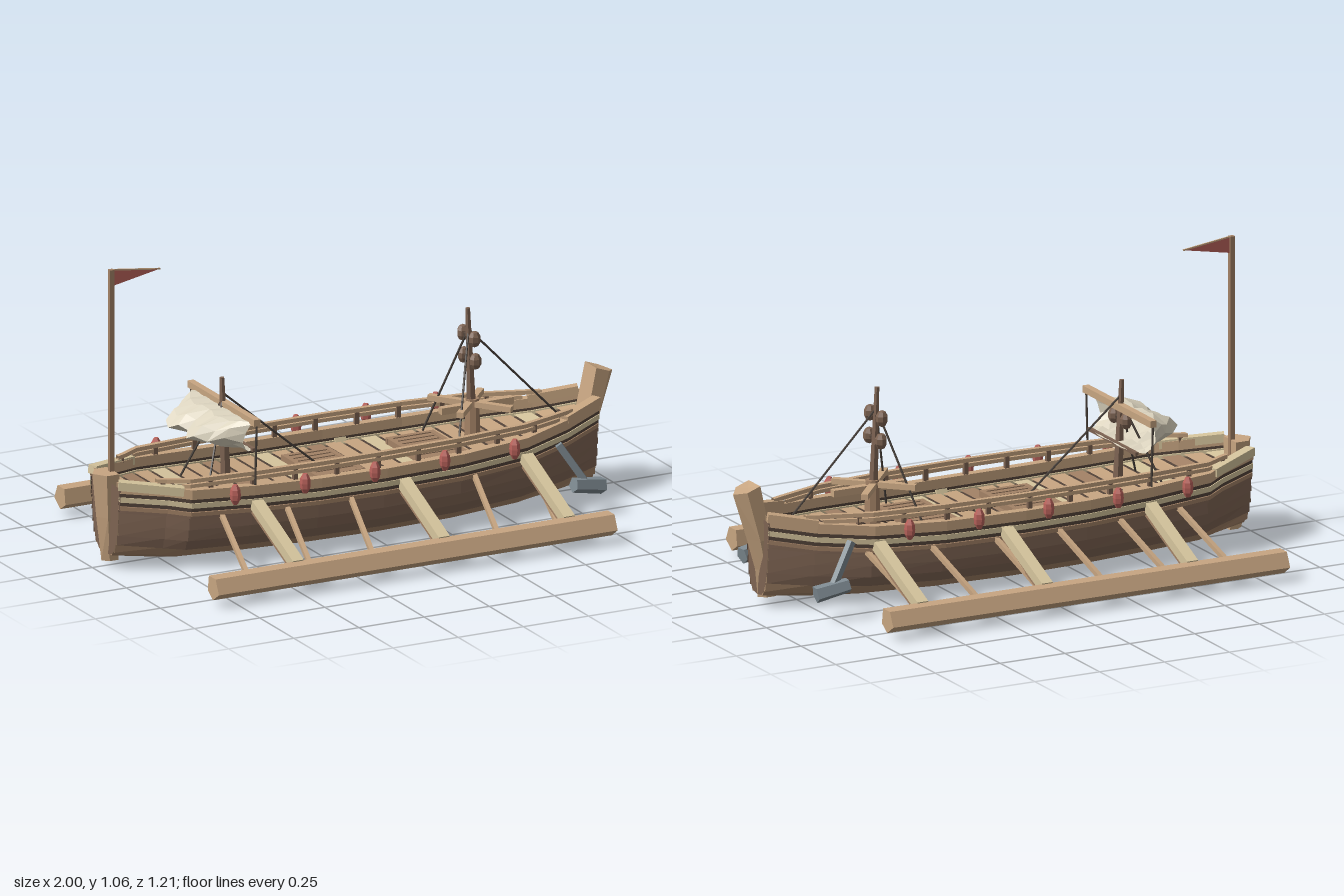
import * as THREE from 'three';

const mat = (name, color) => new THREE.MeshStandardMaterial({ name, color, side: THREE.DoubleSide });
const M = {
  tan: mat('tan wood', 0xc7a581), light: mat('pale wood', 0xd6c59d), brown: mat('brown wood', 0xa38266),
  hull: mat('hull wood', 0x7d6352), dark: mat('dark wood', 0x54443a), red: mat('red cloth', 0xb9625b),
  grey: mat('grey iron', 0x7f8b92), sail: mat('sail cloth', 0xdcd4bf), rope: mat('rope', 0x4a423c),
};
const V = (x, y, z) => new THREE.Vector3(x, y, z);

// Hull stations: x, half beam, keel height, sheer height
const ST = [[-0.95, 0.1, 0.045, 0.305], [-0.8, 0.165, 0.025, 0.29], [-0.73, 0.205, 0.018, 0.28], [-0.5, 0.225, 0.01, 0.268],
  [-0.25, 0.237, 0.003, 0.26], [0, 0.24, 0, 0.258], [0.3, 0.23, 0.003, 0.26], [0.56, 0.2, 0.012, 0.27],
  [0.75, 0.135, 0.025, 0.288], [0.9, 0.075, 0.04, 0.315]];
// Section: share of half beam and of height, keel to sheer
const SEC = [[0, 0], [0.36, 0.015], [0.6, 0.08], [0.77, 0.2], [0.87, 0.34], [0.92, 0.5], [0.95, 0.66], [0.98, 0.82], [1, 1]];
function lerpTable(table, t) {
  let i = 0;
  while (i < table.length - 2 && t > table[i + 1][0]) i++;
  const k = (t - table[i][0]) / (table[i + 1][0] - table[i][0]);
  return table[i].map((a, j) => a + (table[i + 1][j] - a) * k);
}
const station = x => { const [, beam, keel, sheer] = lerpTable(ST, x); return { beam, keel, sheer }; };
const deckY = x => station(x).sheer - 0.035;

export function createModel() {
  const root = new THREE.Group();
  root.name = 'outriggerBoat';
  const add = (name, geo, m, parent = root) => {
    const mesh = new THREE.Mesh(geo, m);
    mesh.name = name;
    parent.add(mesh);
    return mesh;
  };
  const group = name => { const g = new THREE.Group(); g.name = name; root.add(g); return g; };
  // Faceted sheet through a grid of points
  const grid = (rows, cols, point) => {
    const pos = [], idx = [];
    for (let i = 0; i < rows; i++) for (let j = 0; j < cols; j++) pos.push(...point(i, j).toArray());
    for (let i = 0; i < rows - 1; i++) for (let j = 0; j < cols - 1; j++) {
      const a = i * cols + j, b = a + cols;
      idx.push(a, b, a + 1, b, b + 1, a + 1);
    }
    const g = new THREE.BufferGeometry();
    g.setAttribute('position', new THREE.Float32BufferAttribute(pos, 3));
    g.setIndex(idx);
    return facet(g);
  };
  const facet = g => { const f = g.toNonIndexed(); f.computeVertexNormals(); return f; };
  const along = (mesh, a, b) => { mesh.position.copy(a).add(b).multiplyScalar(0.5); mesh.lookAt(b); return mesh; };
  const beam = (name, a, b, w, h, m, parent) =>
    along(add(name, new THREE.BoxGeometry(w, h, a.distanceTo(b)), m, parent), a, b);
  const rod = (name, a, b, r0, r1, m, parent, sides = 6) =>
    along(add(name, facet(new THREE.CylinderGeometry(r1, r0, a.distanceTo(b), sides).rotateX(Math.PI / 2)), m, parent), a, b);
  const box = (name, x, y, z, w, h, d, m, parent) => {
    const b = add(name, new THREE.BoxGeometry(w, h, d), m, parent);
    b.position.set(x, y, z);
    return b;
  };

  // Lapped hull planking
  const hull = group('hull');
  const xs = ST.map(s => s[0]);
  const hullPoint = (x, k, side, out = 0) => {
    const s = station(x);
    return V(x, s.keel + SEC[k][1] * (s.sheer - s.keel), side * (SEC[k][0] * s.beam + out));
  };
  for (const side of [1, -1]) {
    for (let k = 0; k < 8; k++) {
      const rows = [[k + 1, 0], [k, k ? 0.009 : 0], [k, 0]];
      if (side < 0) rows.reverse();
      add('strake', grid(3, xs.length, (i, j) => hullPoint(xs[j], rows[i][0], side, rows[i][1])), k < 3 ? M.brown : M.hull, hull);
    }
    // Strips following the sheer: height is taken from base(x)
    const strip = (name, inset, base, w, h, m, from = -0.95, to = 0.9) => {
      const px = [from, ...xs.filter(x => x > from && x < to), to];
      const c = [[0, 0], [0, h], [-w, h], [-w, 0], [0, 0]];
      add(name, grid(5, px.length, (i, j) => {
        const q = c[side > 0 ? 4 - i : i];
        return V(px[j], base(px[j]) + q[1], side * (station(px[j]).beam - inset + q[0]));
      }), m, hull);
    };
    const below = d => x => station(x).sheer - d;
    strip('gunwale', -0.014, below(0.016), 0.032, 0.034, M.tan);
    strip('seam', -0.008, below(0.03), 0.012, 0.014, M.dark);
    strip('wale', -0.012, below(0.048), 0.022, 0.018, M.light);
    strip('lowerSeam', -0.006, below(0.062), 0.014, 0.014, M.dark);
    strip('lowerWale', -0.007, below(0.078), 0.022, 0.014, M.brown);
    // Level handrail with a second rail beneath
    strip('topRail', 0, () => 0.319, 0.018, 0.014, M.tan, -0.83, 0.78);
    strip('lowerRail', 0.002, () => 0.301, 0.012, 0.013, M.tan, -0.75, 0.72);
    for (let i = 0; i < 11; i++) {
      const x = -0.81 + i * 0.157, s = station(x), foot = s.sheer + 0.01;
      box('railPost', x, (foot + 0.32) / 2, side * (s.beam - 0.009), 0.016, 0.32 - foot, 0.012, M.hull, hull);
    }
    // Heavy caps where the sides meet the end posts
    beam('sternCap', V(-0.95, 0.315, side * 0.095), V(-0.75, 0.292, side * 0.195), 0.035, 0.03, M.light, hull);
    beam('bowCap', V(0.9, 0.33, side * 0.07), V(0.74, 0.302, side * 0.135), 0.035, 0.03, M.tan, hull);
  }
  for (const x of [-0.95, 0.9])
    add('endPlate', grid(2, SEC.length, (i, j) => hullPoint(x, j, i === (x > 0 ? 0 : 1) ? 1 : -1)), M.hull, hull);

  // Pointed bow and stern posts: sections of [height, back x, nose x, half width, tilt]
  const post = (name, sections) => add(name, grid(sections.length + 2, 6, (i, j) => {
    const [y, back, nose, w, tilt = 0] = sections[Math.min(Math.max(i - 1, 0), sections.length - 1)];
    const mid = back + (nose - back) * 0.6;
    const p = [[back, w], [mid, w], [nose, 0], [mid, -w], [back, -w], [back, w]][j];
    if (i === 0 || i > sections.length) return V((back + mid) / 2, y - tilt * 0.4, 0);
    return V(p[0], y - tilt * (p[0] - back) / (nose - back), p[1]);
  }), M.tan, hull);
  post('bowPost', [[0.03, 0.84, 0.9, 0.02], [0.13, 0.85, 0.91, 0.035], [0.24, 0.87, 0.942, 0.045], [0.435, 0.912, 0.995, 0.042, 0.03]]);
  post('sternPost', [[0.02, -0.91, -0.965, 0.02], [0.18, -0.92, -0.985, 0.038], [0.335, -0.92, -1, 0.046]]);

  // Deck: dark base with cross planks
  const deck = group('deck');
  const deckSheet = (name, x0, x1, rise, m) => {
    const px = [x0, ...xs.filter(x => x > x0 + 0.005 && x < x1 - 0.005), x1];
    add(name, grid(2, px.length, (i, j) => V(px[j], deckY(px[j]) + rise, (i ? 1 : -1) * (station(px[j]).beam * 0.985 - 0.002))), m, deck);
  };
  deckSheet('deckBase', -0.95, 0.9, -0.008, M.dark);
  const palePlanks = [0, 4, 10, 16, 24], brownPlanks = [2, 7, 13, 21];
  for (let i = 0; i < 27; i++) {
    const x = -0.945 + i * 0.0682;
    deckSheet('deckPlank', x, x + 0.057, 0, palePlanks.includes(i) ? M.light : brownPlanks.includes(i) ? M.brown : M.tan);
  }
  for (let x = -0.9; x < 0.78; x += 0.1) beam('centreSeam', V(x, deckY(x), 0), V(x + 0.1, deckY(x + 0.1), 0), 0.008, 0.006, M.dark, deck);

  // Grated hatches
  for (const x of [-0.115, 0.285]) {
    const y = deckY(x) + 0.008;
    for (const s of [1, -1]) {
      box('hatchSide', x, y, s * 0.122, 0.185, 0.026, 0.018, M.brown, deck);
      box('hatchEnd', x + s * 0.083, y, 0, 0.018, 0.026, 0.24, M.brown, deck);
    }
    box('hatchFloor', x, y - 0.004, 0, 0.15, 0.012, 0.23, M.hull, deck);
    for (let i = -3; i <= 3; i++) box('hatchSlat', x, y + 0.004, i * 0.033, 0.15, 0.012, 0.024, M.brown, deck);
  }

  // Outriggers: five-sided floats, broad arms, thin struts and pads
  for (const side of [1, -1]) {
    const rig = group('outrigger');
    const shape = new THREE.Shape([[0.604, 0.05], [0.58, 0.1], [0.53, 0.1], [0.522, 0.045], [0.56, 0.02]]
      .map(p => new THREE.Vector2(-side * p[0], p[1])));
    const float = add('float', new THREE.ExtrudeGeometry(shape, { depth: 1.53, bevelEnabled: false }), M.tan, rig);
    float.rotation.y = Math.PI / 2;
    float.position.x = -0.83;
    for (const x of [-0.49, 0.07, 0.55]) {
      beam('arm', V(x, 0.088, side * 0.53), V(x, 0.222, side * 0.22), 0.042, 0.035, M.light, rig);
      beam('armUnderside', V(x, 0.064, side * 0.53), V(x, 0.195, side * 0.22), 0.032, 0.02, M.brown, rig);
    }
    for (const x of [-0.66, -0.42, -0.18, 0.06, 0.3, 0.53]) {
      beam('strut', V(x, 0.05, side * 0.505), V(x + 0.05, 0.195, side * (station(x).beam - 0.015)), 0.016, 0.016, M.tan, rig);
      const reach = x > 0.5 ? 0.432 : 0.47;
      box('pad', x, 0.04, side * (0.54 + reach) / 2, 0.08, 0.012, 0.54 - reach, M.brown, rig);
    }
  }

  // Hanging red floats along both sides
  for (const side of [1, -1]) for (let i = 0; i < 5; i++) {
    const pts = [[0, -0.035], [0.008, -0.035], [0.017, -0.018], [0.019, 0], [0.017, 0.018], [0.008, 0.035], [0, 0.035]]
      .map(p => new THREE.Vector2(p[0], p[1]));
    add('sideFloat', facet(new THREE.LatheGeometry(pts, 6)), M.red).position.set(-0.603 + i * 0.268, 0.285, side * 0.29);
  }

  // Iron anchors by the bow
  for (const side of [1, -1]) {
    const anchor = group('anchor');
    beam('anchorShaft', V(0.665, 0.255, side * 0.236), V(0.76, 0.105, side * 0.272), 0.02, 0.024, M.grey, anchor);
    rod('anchorHead', V(0.7, 0.118, side * 0.28), V(0.818, 0.096, side * 0.266), 0.027, 0.031, M.grey, anchor, 5);
  }

  // Masts with pulley blocks and stays
  const mast = (name, x, lean, top, blocks) => {
    const g = group(name);
    rod('mastPole', V(x, 0.215, 0), V(x + lean, top, 0), 0.021, 0.009, M.hull, g);
    for (const y of blocks) {
      const bx = x + lean * (y - 0.215) / (top - 0.215);
      for (const s of [1, -1]) {
        const block = add('block', facet(new THREE.SphereGeometry(0.025, 7, 5)), M.hull, g);
        block.position.set(bx, y, s * 0.043);
        block.scale.set(0.9, 1.2, 0.8);
      }
      rod('blockPin', V(bx, y, -0.045), V(bx, y, 0.045), 0.008, 0.008, M.dark, g);
    }
    return g;
  };
  const rope = (a, b, g) => rod('rope', a, b, 0.004, 0.004, M.rope, g, 5);
  const fore = mast('foreMast', 0.46, -0.02, 0.71, [0.61, 0.53]);
  rope(V(0.443, 0.635, 0), V(0.8, 0.265, 0), fore);
  for (const s of [1, -1]) rope(V(0.443, 0.635, 0), V(0.335, 0.25, s * 0.13), fore);
  const aft = mast('aftMast', -0.487, -0.016, 0.605, [0.47]);
  rope(V(-0.5, 0.55, 0), V(-0.13, 0.235, 0), aft);
  for (const s of [1, -1]) rope(V(-0.5, 0.53, 0), V(-0.61, 0.24, s * 0.1), aft);

  // Capstan round the fore mast
  const capstan = group('capstan');
  rod('drum', V(0.458, 0.22, 0), V(0.458, 0.385, 0), 0.03, 0.024, M.brown, capstan, 8);
  beam('capstanBeam', V(0.335, 0.357, 0), V(0.612, 0.357, 0), 0.026, 0.024, M.tan, capstan);
  for (const s of [1, -1])
    beam('capstanBar', V(0.35, 0.372, -s * 0.115), V(0.55, 0.364, s * 0.115), 0.024, 0.02, M.tan, capstan);

  // Yard, boom and half-furled sail, pinched at its ends
  beam('yard', V(-0.495, 0.511, -0.245), V(-0.495, 0.511, 0.245), 0.024, 0.024, M.tan, aft);
  beam('boom', V(-0.47, 0.39, -0.172), V(-0.47, 0.39, 0.172), 0.012, 0.012, M.hull, aft);
  for (const s of [1, -1]) rope(V(-0.495, 0.51, s * 0.24), V(-0.495, 0.26, s * 0.228), aft);
  const sailProfile = [[-0.49, 0.505], [-0.57, 0.502], [-0.64, 0.475], [-0.675, 0.44], [-0.6, 0.412], [-0.53, 0.396], [-0.455, 0.392]];
  const bulges = [0.75, 0.88, 1, 0.95, 0.75, 0.5, 0.2];
  add('sail', grid(sailProfile.length, 13, (i, j) => {
    const [x, y] = sailProfile[i];
    const fold = (j % 2 ? 0.008 : -0.008) * Math.sin(i / 6 * Math.PI);
    return V(-0.49 + (x + 0.49) * bulges[Math.abs(j - 6)], y + fold, (j / 6 - 1) * (0.225 - 0.05 * i / 6));
  }), M.sail, aft);

  // Flag pole and pennant
  const flag = group('flag');
  beam('flagPole', V(-0.927, 0.2, 0), V(-0.927, 1.055, 0), 0.017, 0.017, M.brown, flag);
  const pennant = new THREE.Shape([[-0.918, 1.053], [-0.74, 1.03], [-0.918, 0.996]].map(p => new THREE.Vector2(...p)));
  add('pennant', new THREE.ShapeGeometry(pennant), M.red, flag);
  beam('pennantEdge', V(-0.918, 1.053, 0), V(-0.74, 1.03, 0), 0.005, 0.005, M.tan, flag);
  return root;
}
